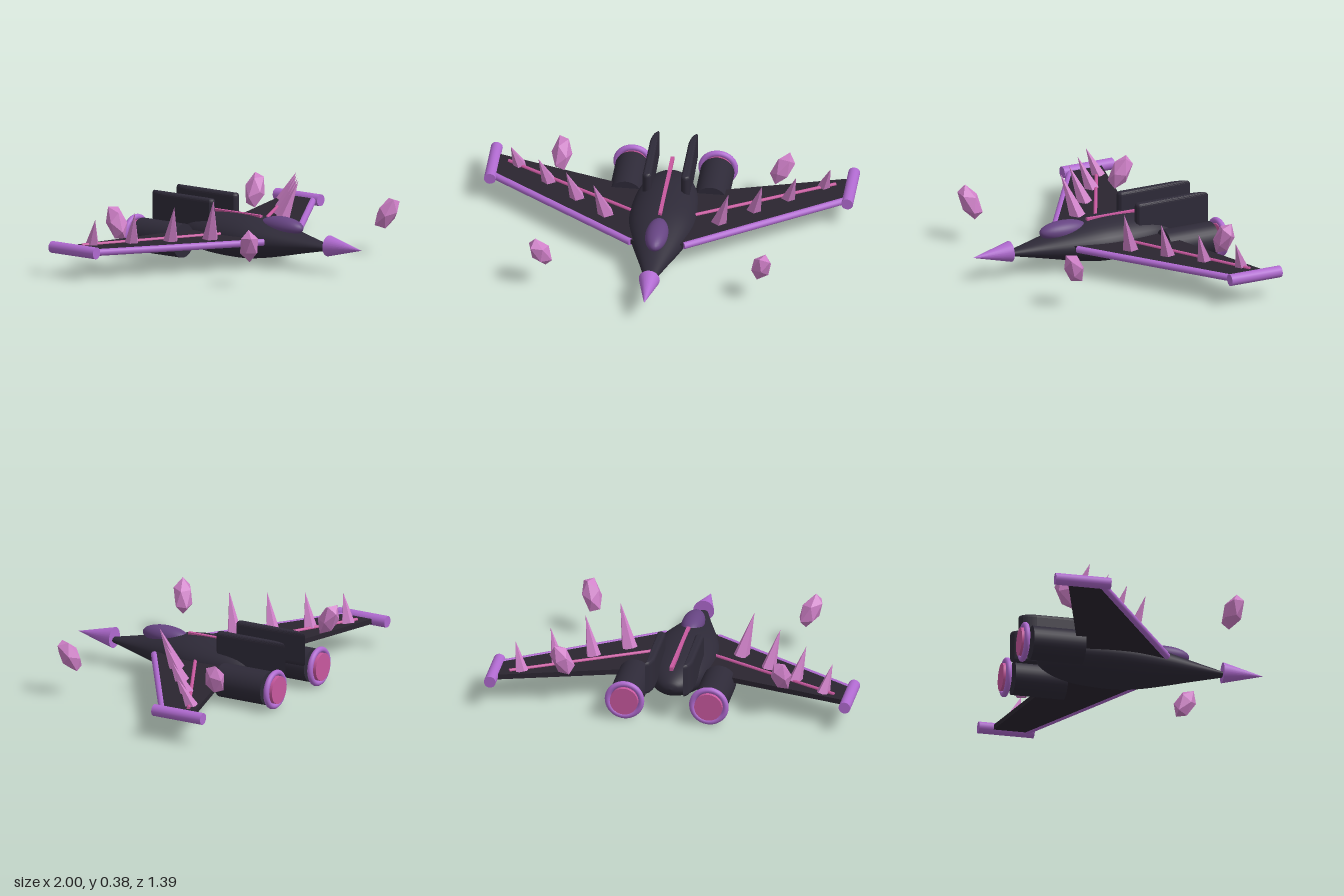
import * as THREE from 'three';

const mat = (color, flatShading = false) => new THREE.MeshStandardMaterial({ color, flatShading });
const V = (x, y, z) => new THREE.Vector3(x, y, z);

export function createModel() {
  const model = new THREE.Group();
  const hull = mat(0x2e2a38);
  const wingMat = mat(0x2a2530);
  const purple = mat(0xb06ad0);
  const canopyMat = mat(0x664482);
  const pink = mat(0xc8589f);
  const crystalMat = mat(0xcf80c8, true);

  const add = (name, geometry, material, x = 0, y = 0, z = 0) => {
    const mesh = new THREE.Mesh(geometry, material);
    mesh.name = name;
    mesh.position.set(x, y, z);
    model.add(mesh);
    return mesh;
  };
  const UP = V(0, 1, 0);
  // Cylinder or cone running from a to b
  const rod = (name, a, b, r0, r1, sides, material) => {
    const dir = b.clone().sub(a);
    const mesh = add(name, new THREE.CylinderGeometry(r1, r0, dir.length(), sides), material);
    mesh.position.copy(a).add(b).multiplyScalar(0.5);
    mesh.quaternion.setFromUnitVectors(UP, dir.normalize());
    return mesh;
  };

  // Fuselage: flattened teardrop, profile given as radius and z
  const profile = new THREE.SplineCurve([
    [0, -0.55], [0.05, -0.537], [0.098, -0.49], [0.138, -0.42], [0.167, -0.33], [0.182, -0.2],
    [0.183, -0.08], [0.168, 0.02], [0.13, 0.15], [0.075, 0.31], [0.02, 0.48],
  ].map(([r, z]) => new THREE.Vector2(r, z))).getPoints(40);
  profile.forEach((p) => { p.x = Math.max(p.x, 0); });
  const body = new THREE.LatheGeometry(profile, 40);
  body.rotateX(Math.PI / 2);
  body.scale(1, 0.64, 1);
  add('fuselage', body, hull, 0, 0.137, 0);

  rod('noseCone', V(0, 0.148, 0.47), V(0, 0.148, 0.695), 0.057, 0, 24, purple);
  add('canopy', new THREE.SphereGeometry(1, 32, 20).scale(0.061, 0.052, 0.14), canopyMat, 0, 0.218, 0.148);
  add('spineStrip', new THREE.BoxGeometry(0.02, 0.02, 0.54), pink, 0, 0.25, -0.265);

  // Fin plan with a tapering rear end, extruded upward
  const finPlan = new THREE.Shape();
  finPlan.moveTo(-0.01, -0.2);
  finPlan.quadraticCurveTo(0, -0.212, 0.01, -0.2);
  finPlan.lineTo(0.01, 0.195);
  finPlan.quadraticCurveTo(-0.006, 0.17, -0.01, 0.12);
  const finGeo = new THREE.ExtrudeGeometry(finPlan, {
    depth: 0.145, bevelEnabled: true, bevelSize: 0.014, bevelThickness: 0.02, bevelSegments: 4, curveSegments: 8,
  });
  finGeo.rotateX(-Math.PI / 2);

  // Spikes: base x, base z, tip x, tip y, tip z, radius
  const spikes = [
    [0.305, -0.1, 0.366, 0.39, -0.03, 0.046],
    [0.477, -0.235, 0.531, 0.362, -0.168, 0.043],
    [0.647, -0.367, 0.697, 0.337, -0.307, 0.041],
    [0.822, -0.5, 0.865, 0.31, -0.445, 0.039],
  ];

  for (const s of [1, -1]) {
    const side = s > 0 ? 'left' : 'right';

    // Swept wing plate
    const plan = new THREE.Shape([[0.05, -0.19], [0.15, -0.13], [0.955, 0.4], [0.955, 0.585], [0.05, 0.325]]
      .map(([x, y]) => new THREE.Vector2(s * x, y)));
    const wing = new THREE.ExtrudeGeometry(plan, { depth: 0.028, bevelEnabled: false });
    wing.rotateX(Math.PI / 2);
    wing.scale(1, 1, -1);
    // Mirroring z reverses the winding, so swap two corners of each face
    const p = wing.attributes.position;
    for (let i = 0; i < p.count; i += 3) {
      const a = V().fromBufferAttribute(p, i + 1), b = V().fromBufferAttribute(p, i + 2);
      p.setXYZ(i + 1, b.x, b.y, b.z);
      p.setXYZ(i + 2, a.x, a.y, a.z);
    }
    wing.computeVertexNormals();
    add(side + 'Wing', wing, wingMat, 0, 0.164, 0);

    rod(side + 'LeadingEdge', V(s * 0.143, 0.149, 0.135), V(s * 0.955, 0.149, -0.4), 0.019, 0.019, 14, purple);
    rod(side + 'WingTip', V(s * 0.967, 0.153, -0.355), V(s * 0.967, 0.153, -0.66), 0.032, 0.032, 20, purple);
    rod(side + 'WingStripe', V(s * 0.14, 0.166, -0.12), V(s * 0.885, 0.166, -0.52), 0.01, 0.01, 10, pink);

    for (const [bx, bz, tx, ty, tz, r] of spikes) {
      rod(side + 'Spike', V(s * bx, 0.155, bz), V(s * tx, ty, tz), r, 0, 5, crystalMat);
    }

    // Engine with its exhaust ring and glowing disc
    const ex = s * 0.23, ey = 0.113;
    rod(side + 'Engine', V(ex, ey, -0.345), V(ex, ey, -0.632), 0.092, 0.092, 32, hull);
    add(side + 'ExhaustRing', new THREE.TorusGeometry(0.092, 0.016, 14, 40), purple, ex, ey, -0.671);
    rod(side + 'ExhaustDisc', V(ex, ey, -0.66), V(ex, ey, -0.697), 0.076, 0.076, 32, pink);

    add(side + 'Fin', finGeo, hull, s * 0.104, 0.17, -0.455);
  }

  // Floating crystals: centre, then leaning axis
  const crystals = [
    [V(0.596, 0.228, 0.395), V(0.03, 0.09, 0.045)],
    [V(-0.598, 0.228, 0.398), V(-0.045, 0.09, 0.03)],
    [V(0.598, 0.248, -0.513), V(0.045, 0.09, -0.01)],
    [V(-0.596, 0.248, -0.513), V(0.01, 0.09, -0.045)],
  ];
  crystals.forEach(([centre, axis], i) => {
    const geo = new THREE.IcosahedronGeometry(0.061, 0).rotateY(i * 0.9).rotateX(0.2).scale(0.92, 1.72, 0.92);
    const mesh = add('floatingCrystal', geo, crystalMat);
    mesh.position.copy(centre);
    mesh.quaternion.setFromUnitVectors(UP, axis.normalize());
  });

  return model;
}
